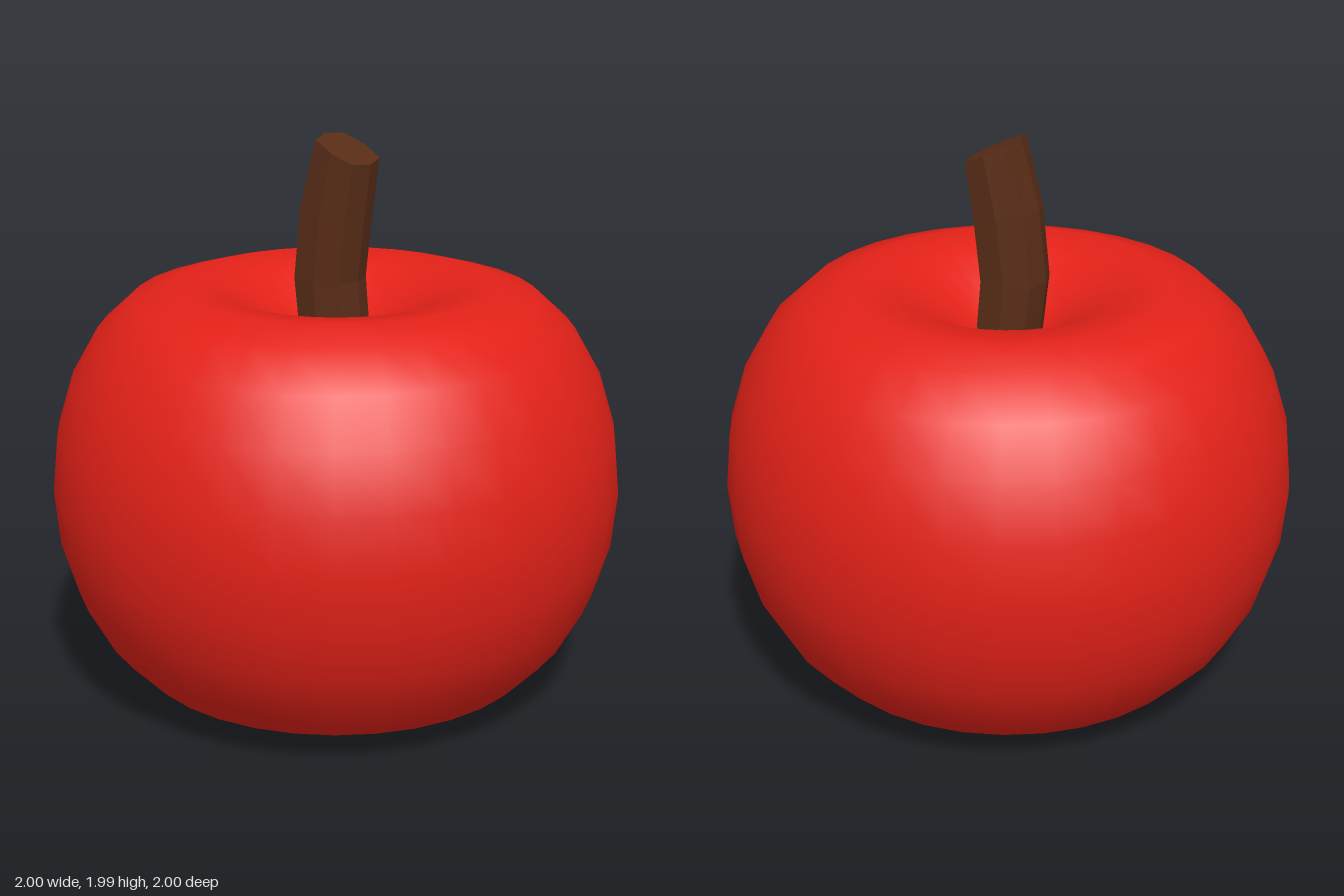
import * as THREE from 'three';

// Fruit body: a sphere profile with a deep dimple on top and a shallow one below
function makeBody() {
  const rings = 16, centerY = 0.77, points = [];
  for (let i = 0; i <= rings; i++) {
    const a = -Math.PI / 2 + (Math.PI * i) / rings;
    const r = i === 0 || i === rings ? 0 : Math.cos(a);
    const s = Math.sin(a);
    let y = s - (s > 0 ? 0.386 : -0.246) * s ** 6;
    if (s > 0) y -= 0.2 * Math.exp(-((r / 0.2) ** 2)); // steep pit around the stem
    points.push(new THREE.Vector2(r, centerY + y));
  }
  const material = new THREE.MeshStandardMaterial({ color: 0xe32118 });
  const mesh = new THREE.Mesh(new THREE.LatheGeometry(points, 32), material);
  mesh.name = 'fruitBody';
  return mesh;
}

// Stem: a bent, eight-sided stalk lofted through tilted rings
function makeStem() {
  const section = [[1, 0], [0.8, 0.085], [0, 0.103], [-0.8, 0.085], [-1, 0], [-0.8, -0.085], [0, -0.103], [0.8, -0.085]];
  const rings = [
    { x: 0.01, y: 1.14, half: 0.11, slope: 0.1 },
    { x: -0.025, y: 1.49, half: 0.115, slope: 0 },
    { x: 0.0, y: 1.72, half: 0.113, slope: 0.25 },
    { x: 0.048, y: 1.945, half: 0.093, slope: 0.48 },
  ];
  const n = section.length, positions = [], index = [];
  for (const { x, y, half, slope } of rings) {
    for (const [u, z] of section) positions.push(x + u * half, y - u * half * slope, z);
  }
  for (let j = 0; j < rings.length - 1; j++) {
    for (let i = 0; i < n; i++) {
      const a = j * n + i, b = j * n + ((i + 1) % n);
      index.push(a, a + n, b, b, a + n, b + n);
    }
  }
  // End caps
  const top = (rings.length - 1) * n;
  for (let i = 1; i < n - 1; i++) {
    index.push(top, top + i + 1, top + i);
    index.push(0, i, i + 1);
  }
  const geometry = new THREE.BufferGeometry();
  geometry.setAttribute('position', new THREE.Float32BufferAttribute(positions, 3));
  geometry.setIndex(index);
  const flat = geometry.toNonIndexed();
  flat.computeVertexNormals();
  const material = new THREE.MeshStandardMaterial({ color: 0x5a2d17, flatShading: true });
  const mesh = new THREE.Mesh(flat, material);
  mesh.name = 'stem';
  return mesh;
}

export function createModel() {
  const group = new THREE.Group();
  group.name = 'apple';
  group.add(makeBody(), makeStem());
  return group;
}
